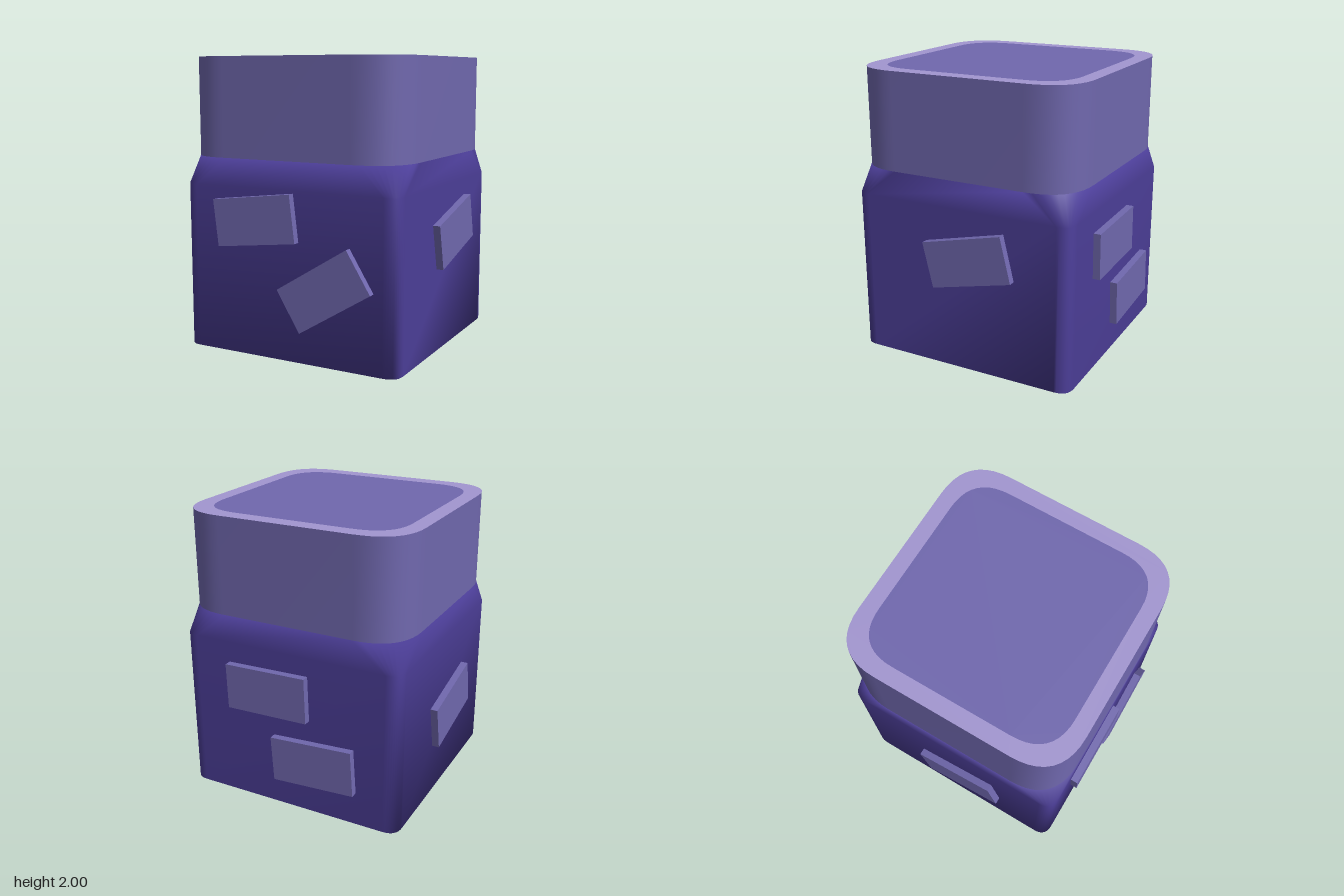
import * as THREE from 'three';

const HALF = 0.805;
const SHOULDER = 1.33;

const material = (color) => new THREE.MeshStandardMaterial({ color });

// Points around a square with rounded corners; cut is the length each corner takes from a side
function outline(half, cut, steps = 10) {
  const points = [];
  const corners = [[1, 1], [-1, 1], [-1, -1], [1, -1]];
  corners.forEach(([sx, sy], i) => {
    const corner = new THREE.Vector2(sx * half, sy * half);
    const a = new THREE.Vector2(sx * half, sy * (half - cut));
    const b = new THREE.Vector2(sx * (half - cut), sy * half);
    const curve = i % 2 === 0
      ? new THREE.QuadraticBezierCurve(a, corner, b)
      : new THREE.QuadraticBezierCurve(b, corner, a);
    points.push(...curve.getPoints(steps));
  });
  return points;
}

// Smooth closed skin through stacked outlines
function loft(sections) {
  const positions = [];
  const index = [];
  const n = sections[0].points.length;
  sections.forEach(({ y, points }) => points.forEach((p) => positions.push(p.x, y, -p.y)));
  for (let s = 0; s < sections.length - 1; s++) {
    for (let i = 0; i < n; i++) {
      const a = s * n + i;
      const b = s * n + (i + 1) % n;
      index.push(a, b, b + n, a, b + n, a + n);
    }
  }
  const top = (sections.length - 1) * n;
  for (let i = 1; i < n - 1; i++) {
    index.push(0, i + 1, i);
    index.push(top, top + i, top + i + 1);
  }
  const geometry = new THREE.BufferGeometry();
  geometry.setAttribute('position', new THREE.Float32BufferAttribute(positions, 3));
  geometry.setIndex(index);
  geometry.computeVertexNormals();
  return geometry;
}

// Open smooth wall following an outline
function wall(points, y0, y1) {
  const geometry = loft([{ y: y0, points }, { y: y1, points }]);
  const wallIndices = points.length * 6;
  geometry.setIndex(Array.from(geometry.index.array.slice(0, wallIndices)));
  geometry.computeVertexNormals();
  return geometry;
}

export function createModel() {
  const model = new THREE.Group();
  const dark = material(0x4c3e98);
  const mid = material(0x7068ae);
  const light = material(0xa296d0);

  const add = (name, geometry, mat, parent = model) => {
    const mesh = new THREE.Mesh(geometry, mat);
    mesh.name = name;
    parent.add(mesh);
    return mesh;
  };

  // Lower body, its corners tapering into the collar at the shoulder
  add('body', loft([
    { y: 0, points: outline(HALF, 0.1) },
    { y: 1.14, points: outline(HALF, 0.1) },
    { y: SHOULDER, points: outline(HALF, 0.33) },
  ]), dark);

  // Collar with a pale rim and a flat panel on top
  const outer = outline(HALF, 0.33);
  const inner = outline(0.695, 0.28);
  add('collar', wall(outer, SHOULDER, 2), mid);

  const rimShape = new THREE.Shape(outer);
  rimShape.holes.push(new THREE.Path(inner));
  const rim = add('rim', new THREE.ShapeGeometry(rimShape), light);
  const panel = add('topPanel', new THREE.ShapeGeometry(new THREE.Shape(inner)), mid);
  [rim, panel].forEach((m) => {
    m.rotation.x = -Math.PI / 2;
    m.position.y = 2;
  });

  // Tilted plates: [side, turn of side, offset to the viewer's right, height, tilt in degrees]
  const plates = [
    ['front', 0, -0.215, 0.93, 6.8],
    ['front', 0, 0.303, 0.512, 31.7],
    ['left', Math.PI / 2, 0.085, 0.803, 13.5],
    ['right', -Math.PI / 2, 0.06, 0.585, 11.5],
    ['back', Math.PI, -0.14, 0.845, 1.5],
    ['back', Math.PI, 0.2, 0.383, 3.4],
  ];
  plates.forEach(([side, turn, x, y, tilt]) => {
    const face = new THREE.Group();
    face.name = side + 'Plate';
    face.rotation.y = turn;
    model.add(face);
    const plate = add('plate', new THREE.BoxGeometry(0.6, 0.32, 0.1), mid, face);
    plate.position.set(x, y, HALF);
    plate.rotation.z = THREE.MathUtils.degToRad(tilt);
  });

  return model;
}
